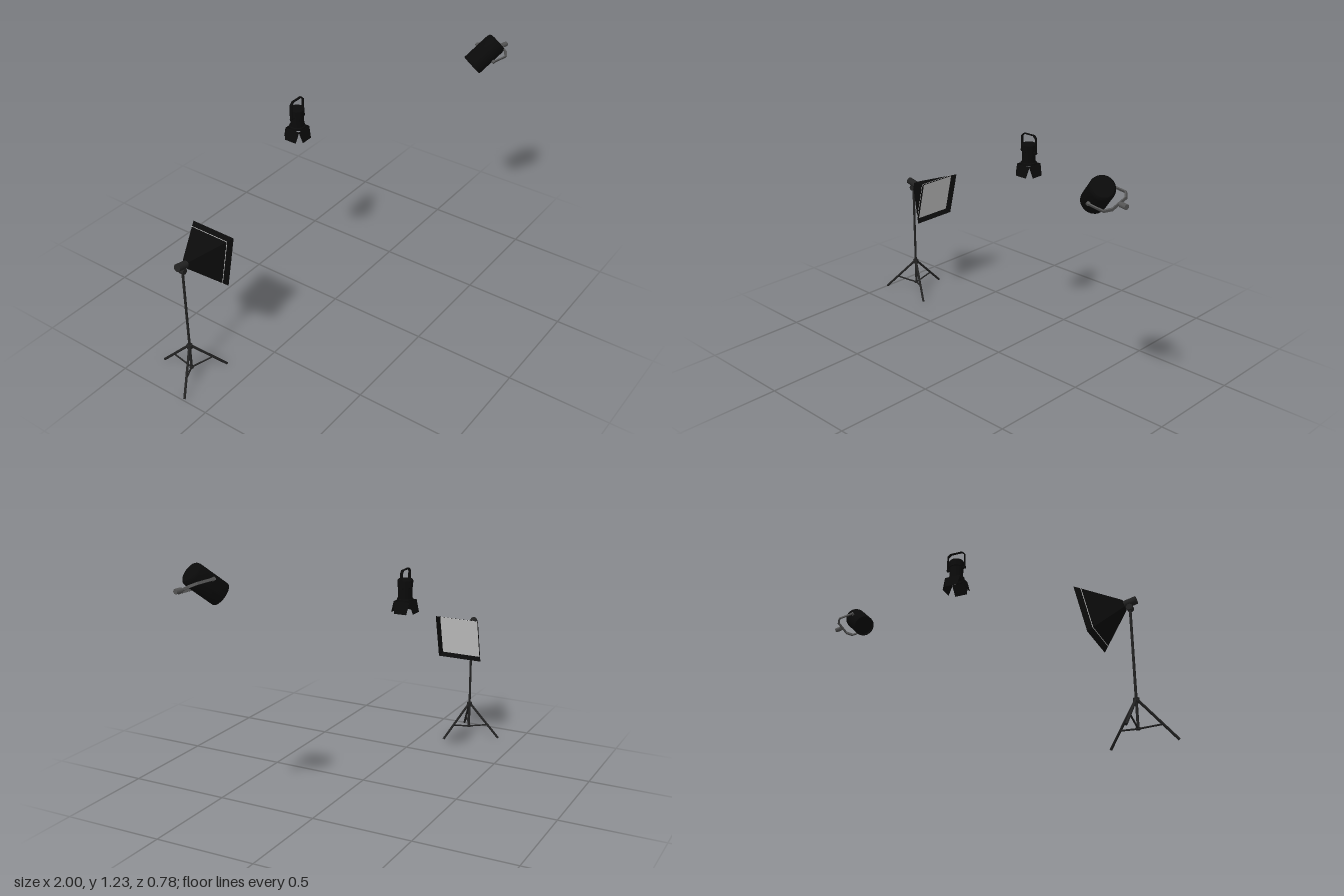
import * as THREE from 'three';
import { toCreasedNormals } from 'three/addons/utils/BufferGeometryUtils.js';

const mat = (name, color, side = THREE.FrontSide) => {
  const m = new THREE.MeshStandardMaterial({ color, side });
  m.name = name;
  return m;
};
const V = (x, y, z) => new THREE.Vector3(x, y, z);

export function createModel() {
  const black = mat('black', 0x0a0a0a);
  const fabric = mat('black fabric', 0x0a0a0a, THREE.DoubleSide);
  const dark = mat('dark metal', 0x222222);
  const grey = mat('grey metal', 0x555555);
  const white = mat('white diffuser', 0xc8c8c8);

  const add = (parent, name, geometry, material, x = 0, y = 0, z = 0) => {
    const m = new THREE.Mesh(geometry, material);
    m.name = name;
    m.position.set(x, y, z);
    parent.add(m);
    return m;
  };
  const group = (parent, name, x, y, z) => {
    const g = new THREE.Group();
    g.name = name;
    g.position.set(x, y, z);
    parent.add(g);
    return g;
  };
  // Round rod between two points
  const rod = (parent, name, a, b, r, material) => {
    const d = b.clone().sub(a);
    const m = add(parent, name, new THREE.CylinderGeometry(r, r, d.length(), 10), material);
    m.position.copy(a).add(b).multiplyScalar(0.5);
    m.quaternion.setFromUnitVectors(V(0, 1, 0), d.normalize());
    return m;
  };
  const turned = (pts) => toCreasedNormals(
    new THREE.LatheGeometry(pts.map(([x, y]) => new THREE.Vector2(x, y)), 32), 0.6);
  // U-shaped strap with chamfered corners, open at y = 0
  const strap = (hw, h, c, t, width) => {
    const half = (w, top) => [[w, 0], [w, top - c], [w - c, top]];
    const u = (w, top) => {
      const p = half(w, top);
      return [...p, ...p.slice().reverse().map(([x, y]) => [-x, y])];
    };
    const outline = [...u(hw, h), ...u(hw - t, h - t).reverse()];
    const shape = new THREE.Shape(outline.map(([x, y]) => new THREE.Vector2(x, y)));
    return new THREE.ExtrudeGeometry(shape, { depth: width, bevelEnabled: false })
      .translate(0, 0, -width / 2);
  };

  const model = new THREE.Group();
  model.name = 'studioLights';

  // Softbox on a tripod stand
  const soft = group(model, 'softboxLight', -0.845, 0, -0.217);
  rod(soft, 'pole', V(0, 0.045, 0), V(0, 0.615, 0), 0.006, dark);
  add(soft, 'legHub', new THREE.CylinderGeometry(0.014, 0.014, 0.02, 16), dark, 0, 0.176, 0);
  add(soft, 'braceHub', new THREE.CylinderGeometry(0.01, 0.01, 0.01, 16), dark, 0, 0.05, 0);
  for (let i = 0; i < 3; i++) {
    const a = -Math.PI / 2 + i * Math.PI * 2 / 3;
    const at = (r, y) => V(Math.cos(a) * r, y, Math.sin(a) * r);
    rod(soft, 'leg', at(0.006, 0.178), at(0.172, 0.008), 0.006, dark);
    rod(soft, 'brace', at(0.005, 0.05), at(0.106, 0.074), 0.004, dark);
  }
  add(soft, 'tiltBracket', new THREE.BoxGeometry(0.022, 0.025, 0.022), dark, 0, 0.613, 0);
  add(soft, 'tiltKnob',
    new THREE.CylinderGeometry(0.014, 0.014, 0.03, 16).rotateX(Math.PI / 2), dark, 0, 0.612, 0);

  // Tilted head, aimed along its own +x
  const head = group(soft, 'softboxHead', 0, 0.638, 0);
  head.rotation.z = -0.227;
  add(head, 'lampHousing',
    new THREE.CylinderGeometry(0.018, 0.018, 0.062, 20).rotateZ(-Math.PI / 2), dark, -0.001, 0, 0);
  const hood = new THREE.CylinderGeometry(0.118 * Math.SQRT2, 0.018 * Math.SQRT2, 0.168, 4, 1, true)
    .rotateY(Math.PI / 4).rotateZ(-Math.PI / 2);
  add(head, 'hood', toCreasedNormals(hood, 0.3), fabric, 0.109, 0, 0);
  add(head, 'hoodBack', new THREE.BoxGeometry(0.004, 0.036, 0.036), black, 0.026, 0, 0);
  add(head, 'diffuser', new THREE.BoxGeometry(0.004, 0.207, 0.207), white, 0.168, 0, 0);

  // Small hanging spotlight pointing straight down
  const spot = group(model, 'barnDoorLight', -0.006, 0, -0.217);
  add(spot, 'spotBody', turned([
    [0, 0.955], [0.031, 0.955], [0.033, 0.944], [0.039, 0.944], [0.039, 0.954], [0.033, 0.956],
    [0.033, 1.008], [0.036, 1.01], [0.036, 1.042], [0.033, 1.046], [0, 1.046]]), black);
  add(spot, 'spotYoke', strap(0.046, 0.093, 0.014, 0.003, 0.013), black, 0, 1.0, 0);
  for (const s of [-1, 1])
    rod(spot, 'yokePivot', V(s * 0.03, 1.006, 0), V(s * 0.049, 1.006, 0), 0.006, black);
  const leaf = new THREE.Shape([[-0.04, 0], [-0.031, -0.058], [0.031, -0.058], [0.04, 0]]
    .map(([x, y]) => new THREE.Vector2(x, y)));
  const leafGeometry = new THREE.ExtrudeGeometry(leaf, { depth: 0.002, bevelEnabled: false });
  for (let i = 0; i < 4; i++) {
    const hinge = group(spot, 'barnDoorHinge', 0, 0.945, 0);
    hinge.rotation.y = i * Math.PI / 2;
    add(hinge, 'barnDoor', leafGeometry, black, 0, 0, 0.038).rotation.x = -0.29;
  }

  // Large spotlight aimed down toward the middle
  const flood = group(model, 'floodLight', 0.834, 1.142, 0.303);
  const barrel = add(flood, 'barrel', turned([
    [0, -0.072], [0.049, -0.072], [0.05, -0.085], [0.053, -0.085], [0.055, -0.082],
    [0.055, 0.066], [0.052, 0.077], [0.045, 0.084], [0, 0.086]]), black);
  barrel.quaternion.setFromUnitVectors(V(0, 1, 0), V(0.634, 0.634, 0.44).normalize());

  // Its yoke: local x is the pivot axis, local y runs out to the mount
  const yoke = group(flood, 'floodYoke', 0, 0, 0);
  const px = V(-0.17, -0.44, 0.88).normalize();
  const out = V(0.986, -0.018, 0.166);
  out.addScaledVector(px, -out.dot(px)).normalize();
  yoke.quaternion.setFromRotationMatrix(
    new THREE.Matrix4().makeBasis(px, out, px.clone().cross(out)));
  add(yoke, 'yokeStrap', strap(0.066, 0.126, 0.026, 0.006, 0.012), grey);
  for (const s of [-1, 1])
    rod(yoke, 'yokePivot', V(s * 0.05, 0.004, 0), V(s * 0.068, 0.004, 0), 0.008, grey);
  rod(yoke, 'mountNeck', V(0, 0.122, 0), V(0, 0.14, 0), 0.007, grey);
  rod(yoke, 'mountStem', V(0, 0.134, 0), V(0, 0.167, 0), 0.012, grey);

  return model;
}
